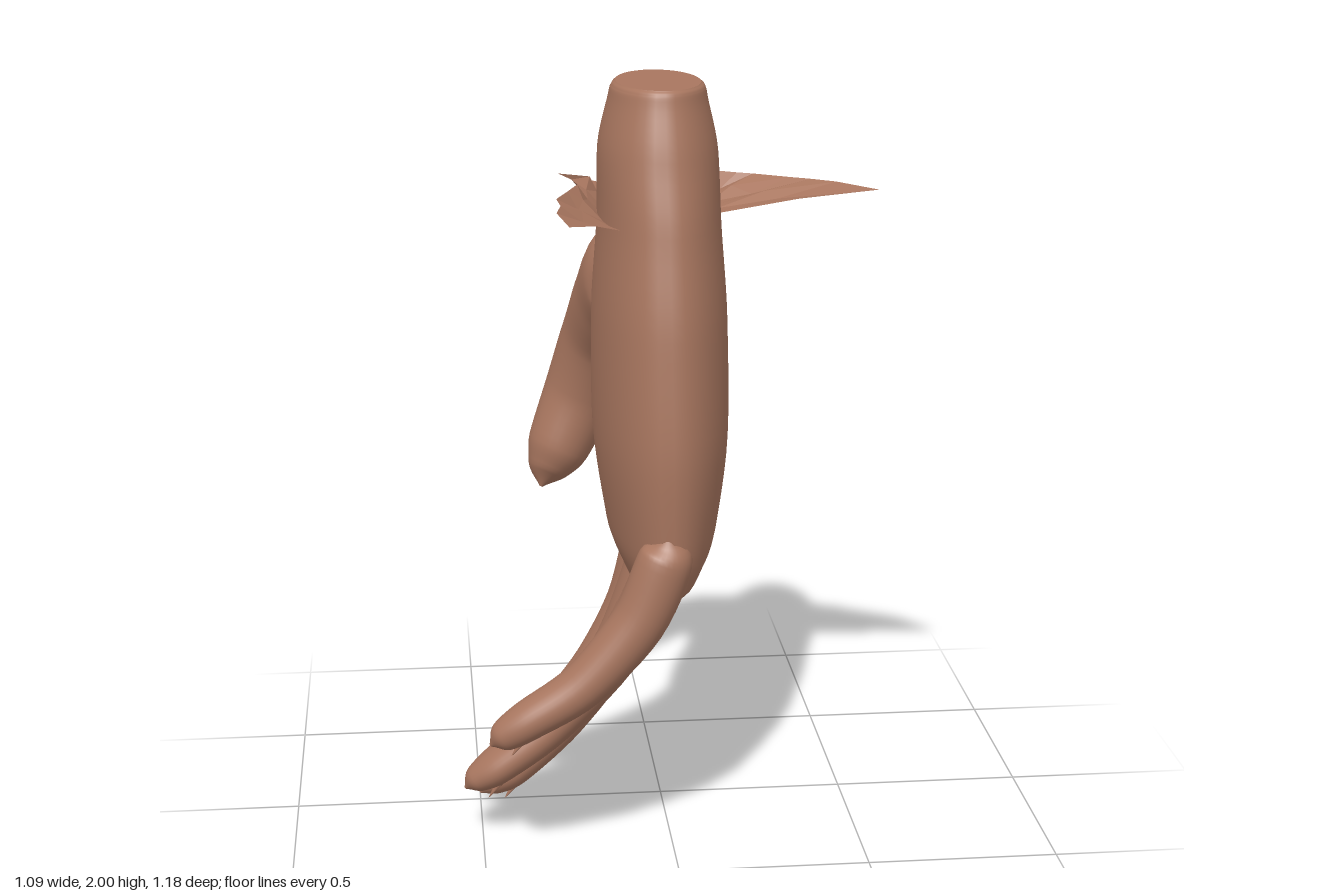
import * as THREE from 'three';

const skin = new THREE.MeshStandardMaterial({ color: 0xa8765f });
skin.name = 'warm brown';
const cloth = skin.clone();
cloth.name = 'warm brown cuff';
cloth.side = THREE.DoubleSide;

// Smooth limb with elliptical sections.
// Each row is [x, y, z, radius along ref, radius across]; ref is the section's first axis.
// With an axis given, all sections stay square to it.
function limb(name, rows, ref, axis = null, steps = 36, sides = 32) {
  const path = new THREE.CatmullRomCurve3(rows.map(r => new THREE.Vector3(r[0], r[1], r[2])), false, 'catmullrom', 0.45);
  const size = new THREE.CatmullRomCurve3(rows.map(r => new THREE.Vector3(r[3], r[4], 0)), false, 'catmullrom', 0.35);
  const pos = [], index = [];
  for (let i = 0; i <= steps; i++) {
    const c = path.getPoint(i / steps), s = size.getPoint(i / steps);
    const t = axis || path.getTangent(i / steps);
    const a = ref.clone().addScaledVector(t, -ref.dot(t)).normalize();
    const b = t.clone().cross(a);
    for (let j = 0; j < sides; j++) {
      const w = (j / sides) * Math.PI * 2;
      const p = c.clone()
        .addScaledVector(a, Math.cos(w) * Math.max(s.x, 0.002))
        .addScaledVector(b, Math.sin(w) * Math.max(s.y, 0.002));
      pos.push(p.x, p.y, p.z);
      if (i < steps) {
        const k = (j + 1) % sides, u = i * sides, v = u + sides;
        index.push(u + j, u + k, v + j, u + k, v + k, v + j);
      }
    }
  }
  const g = new THREE.BufferGeometry();
  g.setAttribute('position', new THREE.Float32BufferAttribute(pos, 3));
  g.setIndex(index);
  g.computeVertexNormals();
  const mesh = new THREE.Mesh(g, skin);
  mesh.name = name;
  return mesh;
}

// Flat elliptical lid, facing up or down
function lid(name, x, y, z, rx, rz, up) {
  const g = new THREE.CircleGeometry(1, 32);
  g.scale(rx, rz, 1);
  g.rotateX(up ? -Math.PI / 2 : Math.PI / 2);
  const mesh = new THREE.Mesh(g, skin);
  mesh.position.set(x, y, z);
  mesh.name = name;
  return mesh;
}

// Small pointed nail on the outer side of a fingertip, its point at (x, y, z)
function nail(name, x, y, z) {
  const g = new THREE.ConeGeometry(0.032, 0.12, 12);
  g.translate(0, -0.06, 0);
  g.scale(0.7, 1, 1);
  g.rotateZ(2.55);
  const mesh = new THREE.Mesh(g, skin);
  mesh.position.set(x, y, z);
  mesh.name = name;
  return mesh;
}

// Ragged cuff: rows of [inner x, inner z, outer x, outer z], rising outward
function cuff(name, rows) {
  const pos = [], index = [];
  rows.forEach(([ix, iz, ox, oz], i) => {
    const wide = Math.hypot(ox - ix, oz - iz) > 0.035;
    const rise = wide ? 0.067 : 0.02;
    pos.push(ix, 1.66, iz, (ix + ox) / 2, 1.66 + rise * (i % 2 ? 0.4 : 0.6), (iz + oz) / 2, ox, 1.66 + rise, oz);
    if (i) for (let k = 0; k < 2; k++) {
      const a = (i - 1) * 3 + k, b = a + 3;
      index.push(a, b, a + 1, b, b + 1, a + 1);
    }
  });
  let g = new THREE.BufferGeometry();
  g.setAttribute('position', new THREE.Float32BufferAttribute(pos, 3));
  g.setIndex(index);
  g = g.toNonIndexed();
  g.computeVertexNormals();
  const mesh = new THREE.Mesh(g, cloth);
  mesh.name = name;
  return mesh;
}

export function createModel() {
  const hand = new THREE.Group();
  hand.name = 'hand';
  const X = new THREE.Vector3(1, 0, 0), Y = new THREE.Vector3(0, 1, 0), Z = new THREE.Vector3(0, 0, 1);

  // Wrist and palm, from the bottom up
  hand.add(limb('palm', [
    [-0.02, 0.71, 0.115, 0.07, 0.3],
    [-0.015, 0.74, 0.11, 0.1, 0.34],
    [-0.012, 0.85, 0.105, 0.142, 0.37],
    [-0.013, 1.1, 0.105, 0.175, 0.382],
    [-0.015, 1.4, 0.105, 0.174, 0.35],
    [-0.015, 1.65, 0.1, 0.158, 0.3],
    [-0.018, 1.83, 0.1, 0.153, 0.248],
    [-0.017, 1.965, 0.1, 0.125, 0.203],
    [-0.016, 1.99, 0.1, 0.118, 0.195],
    [-0.016, 2.0, 0.1, 0.108, 0.186],
  ], X, Y, 54, 32));
  hand.add(lid('wristEnd', -0.016, 2, 0.1, 0.108, 0.186, true));
  hand.add(lid('palmBase', -0.02, 0.71, 0.115, 0.07, 0.3, false));

  // Fingers: each path curls towards -x
  const fingers = {
    littleFinger: [
      [-0.02, 0.9, 0.455, 0.02, 0.02], [-0.03, 0.84, 0.445, 0.064, 0.07], [-0.1, 0.67, 0.44, 0.074, 0.07],
      [-0.24, 0.51, 0.448, 0.067, 0.06], [-0.38, 0.42, 0.45, 0.061, 0.052],
      [-0.45, 0.375, 0.45, 0.042, 0.04], [-0.482, 0.352, 0.45, 0.004, 0.004]],
    ringFinger: [
      [-0.01, 0.85, 0.24, 0.1, 0.07], [-0.04, 0.7, 0.24, 0.1, 0.068], [-0.15, 0.5, 0.237, 0.09, 0.062],
      [-0.31, 0.32, 0.235, 0.079, 0.056], [-0.45, 0.21, 0.235, 0.071, 0.05],
      [-0.515, 0.165, 0.235, 0.045, 0.036], [-0.545, 0.14, 0.235, 0.004, 0.004]],
    middleFinger: [
      [-0.01, 0.85, 0.02, 0.11, 0.07], [-0.025, 0.7, 0.02, 0.112, 0.068], [-0.12, 0.45, 0.015, 0.099, 0.062],
      [-0.26, 0.24, 0, 0.085, 0.056], [-0.4, 0.1, 0, 0.075, 0.05],
      [-0.465, 0.05, 0, 0.045, 0.036], [-0.5, 0.02, 0, 0.004, 0.004]],
    indexFinger: [
      [0, 0.9, -0.19, 0.04, 0.04], [-0.01, 0.72, -0.185, 0.1, 0.07], [-0.07, 0.5, -0.193, 0.092, 0.062],
      [-0.17, 0.31, -0.203, 0.084, 0.056], [-0.29, 0.16, -0.21, 0.075, 0.05],
      [-0.355, 0.105, -0.21, 0.045, 0.036], [-0.388, 0.075, -0.21, 0.004, 0.004]],
  };
  for (const [name, rows] of Object.entries(fingers)) hand.add(limb(name, rows, Z));

  // Nails
  hand.add(nail('littleNail', -0.43, 0.32, 0.455));
  hand.add(nail('ringNail', -0.485, 0.11, 0.24));
  hand.add(nail('middleNail', -0.435, 0, 0.005));
  hand.add(nail('indexNail', -0.325, 0.07, -0.21));

  // Thumb, bending out to -z and then down
  hand.add(limb('thumb', [
    [-0.03, 1.45, -0.12, 0.11, 0.12],
    [-0.05, 1.42, -0.225, 0.14, 0.17],
    [-0.083, 1.33, -0.335, 0.128, 0.147],
    [-0.125, 1.2, -0.435, 0.114, 0.122],
    [-0.18, 1.03, -0.483, 0.105, 0.11],
    [-0.245, 0.88, -0.47, 0.09, 0.098],
    [-0.28, 0.81, -0.455, 0.058, 0.065],
    [-0.3, 0.765, -0.435, 0.004, 0.004],
  ], X));

  // Torn cuff: wide flap at +x, narrow band round the back, drooping flap at -x
  hand.add(cuff('cuff', [
    [0.14, 0.12, 0.54, 0.195], [0.14, 0.09, 0.45, 0.075], [0.14, 0.06, 0.39, 0.03], [0.135, 0.02, 0.34, 0],
    [0.13, -0.02, 0.25, -0.06], [0.12, -0.06, 0.21, -0.08], [0.1, -0.1, 0.125, -0.135],
    [0.06, -0.16, 0.07, -0.185], [-0.015, -0.185, -0.015, -0.21], [-0.09, -0.15, -0.1, -0.175],
    [-0.13, -0.09, -0.26, -0.11], [-0.14, -0.06, -0.18, -0.06], [-0.155, -0.01, -0.23, -0.02],
    [-0.165, 0.04, -0.22, 0.05], [-0.17, 0.1, -0.25, 0.14], [-0.17, 0.15, -0.285, 0.24],
    [-0.165, 0.2, -0.28, 0.33], [-0.155, 0.26, -0.295, 0.42], [-0.13, 0.32, -0.275, 0.59],
  ]));
  return hand;
}
